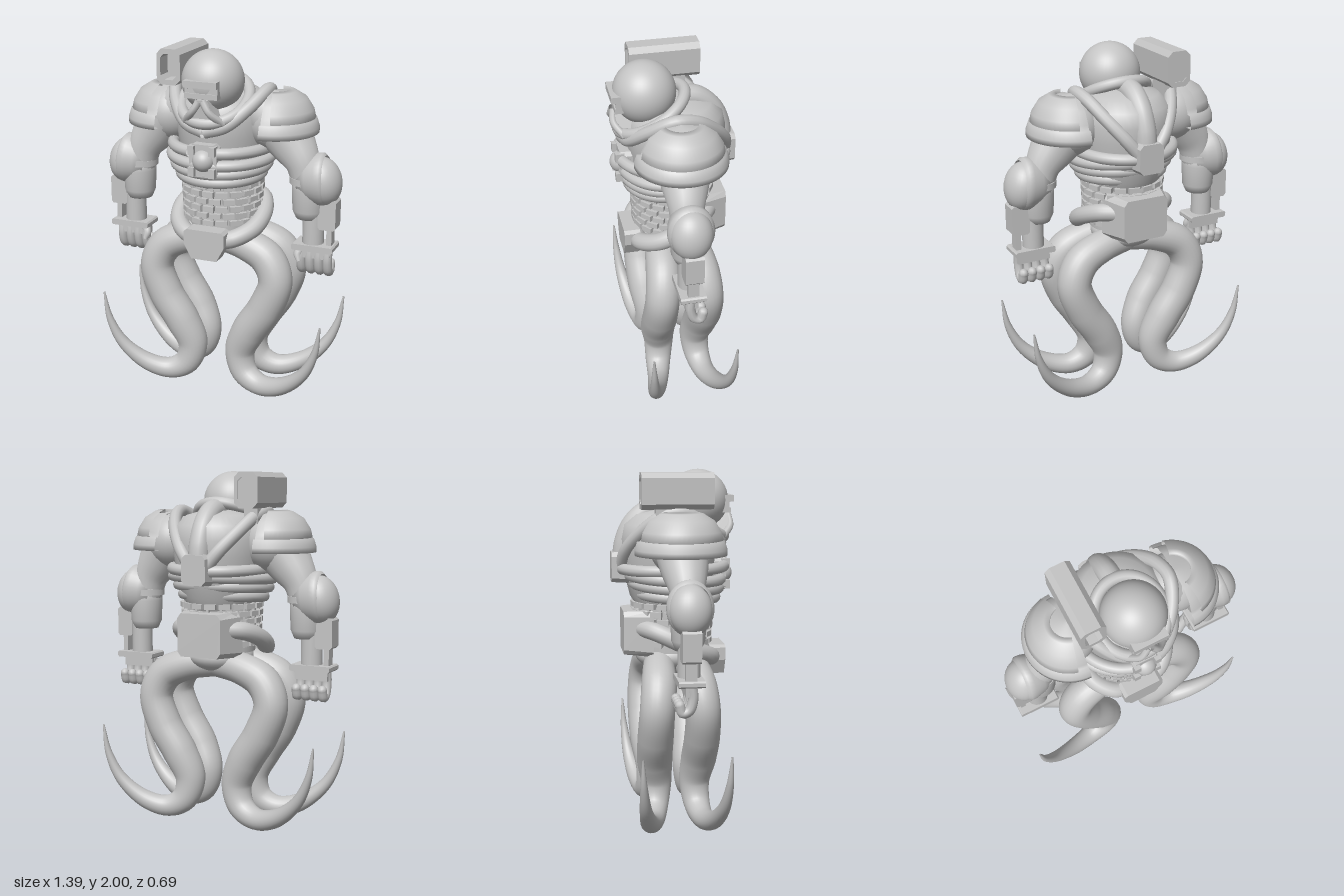
import * as THREE from 'three';

const V = (x, y, z) => new THREE.Vector3(x, y, z);
const grey = new THREE.MeshStandardMaterial({ color: 0xc4c4c4, side: THREE.DoubleSide });
grey.name = 'plain grey';

// Adds a named mesh to a parent
function add(parent, name, geo, x = 0, y = 0, z = 0) {
  const m = new THREE.Mesh(geo, grey);
  m.name = name;
  m.position.set(x, y, z);
  parent.add(m);
  return m;
}

// Tube along points, with one radius or a radius per point
function hose(points, radii, seg = 40, sides = 16, closed = false) {
  const curve = new THREE.CatmullRomCurve3(points.map(p => V(...p)), closed);
  const geo = new THREE.TubeGeometry(curve, seg, 1, sides, closed);
  const pos = geo.attributes.position, v = V(0, 0, 0);
  const list = Array.isArray(radii) ? radii : points.map(() => radii);
  for (let i = 0; i <= seg; i++) {
    const u = i / seg, c = curve.getPointAt(u);
    const k = curve.getUtoTmapping(u) * (list.length - 1);
    const a = Math.min(Math.floor(k), list.length - 1), b = Math.min(a + 1, list.length - 1);
    const r = THREE.MathUtils.lerp(list[a], list[b], k - a);
    for (let j = 0; j <= sides; j++) {
      const n = i * (sides + 1) + j;
      v.fromBufferAttribute(pos, n).sub(c).multiplyScalar(r).add(c);
      pos.setXYZ(n, v.x, v.y, v.z);
    }
  }
  return geo;
}

// Rectangle outline with cut corners
function cutRect(w, h, c, Type = THREE.Shape) {
  const x = w / 2, y = h / 2;
  return new Type([[-x + c, -y], [x - c, -y], [x, -y + c], [x, y - c], [x - c, y], [-x + c, y], [-x, y - c], [-x, -y + c]]
    .map(p => new THREE.Vector2(...p)));
}
const prism = (shape, depth) => new THREE.ExtrudeGeometry(shape, { depth, bevelEnabled: false }).translate(0, 0, -depth / 2);

// Cut-corner block whose rear end shrinks
function taperBlock(w, h, d, c, fx, fy) {
  const geo = prism(cutRect(w, h, c), d), pos = geo.attributes.position;
  for (let i = 0; i < pos.count; i++)
    if (pos.getZ(i) < 0) pos.setXY(i, pos.getX(i) * fx, pos.getY(i) * fy);
  geo.computeVertexNormals();
  return geo;
}
const lathe = (pts, seg = 32, start = 0, len = Math.PI * 2) =>
  new THREE.LatheGeometry(pts.map(p => new THREE.Vector2(...p)), seg, start, len);
const ball = (r, w = 32, h = 20) => new THREE.SphereGeometry(r, w, h);
const box = (w, h, d) => new THREE.BoxGeometry(w, h, d);

// Elliptical arc points around the body, angle 0 at the front
function hoop(rx, rz, y, tilt, a0, a1, zc = 0, n = 24) {
  return Array.from({ length: n + 1 }, (_, i) => {
    const a = a0 + (a1 - a0) * i / n;
    return [Math.sin(a) * rx, y + Math.cos(a) * tilt, zc + Math.cos(a) * rz];
  });
}
const FULL = Math.PI * 2 * 23 / 24;

function buildHead(g) {
  add(g, 'helmet', ball(0.17, 48, 32), 0, 1.83, 0.145);
  // Visor frame with a slit
  add(g, 'visorBrow', box(0.19, 0.036, 0.1), 0, 1.84, 0.285);
  add(g, 'visorSill', box(0.19, 0.028, 0.09), 0, 1.776, 0.272);
  for (const x of [-0.085, 0.085]) add(g, 'visorEnd', box(0.02, 0.09, 0.08), x, 1.81, 0.27);
  add(g, 'visorSlit', box(0.16, 0.05, 0.09), 0, 1.805, 0.262);
  // Breathing mask: wedge and two struts
  const wedge = new THREE.Shape([[-0.035, 0.08], [0.035, 0.08], [0.09, -0.05], [-0.09, -0.05]].map(p => new THREE.Vector2(...p)));
  add(g, 'mask', prism(wedge, 0.09), 0, 1.68, 0.26).rotation.x = 0.1;
  for (const s of [-1, 1])
    add(g, 'maskStrut', hose([[s * 0.01, 1.75, 0.315], [s * 0.05, 1.69, 0.32], [s * 0.11, 1.63, 0.27]], 0.02, 12, 8));
  // Tilted neck ring
  add(g, 'neckRing', hose(hoop(0.185, 0.18, 1.725, -0.1, 0, FULL, 0.11, 23), 0.032, 64, 14, true));
}

function buildTorso(g) {
  add(g, 'chest', lathe([[0.17, 1.22], [0.215, 1.3], [0.245, 1.42], [0.262, 1.53], [0.268, 1.62], [0.25, 1.7], [0.19, 1.755], [0.1, 1.78], [0, 1.785]], 40), 0, 0, -0.02).scale.z = 1.02;
  // Rib hoses, the top one open at the front
  add(g, 'ribHose', hose(hoop(0.275, 0.295, 1.46, 0.005, 0.28, Math.PI * 2 - 0.28), 0.032, 64, 12));
  [[0.287, 0.265, 1.405, 0.01], [0.262, 0.245, 1.355, 0.02], [0.232, 0.225, 1.302, 0.02]].forEach(([rx, rz, y, zc]) =>
    add(g, 'ribHose', hose(hoop(rx, rz, y, -0.015, 0, FULL, zc, 23), 0.031, 64, 12, true)));
  // Chest device
  add(g, 'chestDevice', prism(cutRect(0.16, 0.18, 0.02), 0.07), 0, 1.42, 0.26);
  add(g, 'chestLens', ball(0.062), 0, 1.42, 0.28);
  for (const x of [-0.06, 0.06]) for (const y of [1.36, 1.48])
    add(g, 'chestBolt', box(0.035, 0.05, 0.05), x, y, 0.295);
  // Hoses over the shoulders, meeting on the chest and the back
  for (const s of [-1, 1])
    add(g, 'shoulderHose', hose([[0, 1.575, 0.27], [s * 0.11, 1.61, 0.25], [s * 0.21, 1.7, 0.16], [s * 0.265, 1.775, 0.03],
      [s * 0.25, 1.755, -0.08], [s * 0.195, 1.67, -0.19], [s * 0.12, 1.57, -0.265], [s * 0.05, 1.48, -0.29]], 0.036, 48, 12));
  add(g, 'backHose', hose([[0, 1.79, -0.05], [0, 1.77, -0.14], [0, 1.7, -0.22], [0, 1.6, -0.265], [0, 1.48, -0.28]], 0.06, 32));
  add(g, 'backPack', taperBlock(0.17, 0.18, 0.13, 0.025, 0.85, 0.92), 0, 1.463, -0.28);
}

function buildWaist(g) {
  add(g, 'waist', new THREE.CylinderGeometry(0.2, 0.19, 0.3, 32), 0, 1.14, 0);
  // Woven corset of staggered plates
  for (let row = 0; row < 6; row++) for (let i = 0; i < 18; i++) {
    const a = (i + (row % 2) / 2) / 18 * Math.PI * 2, r = 0.212 + 0.01 * row / 5;
    const m = add(g, 'corsetPlate', box(0.064, 0.028, 0.025), Math.sin(a) * r, 1.045 + row * 0.042, Math.cos(a) * r);
    m.rotation.y = a;
  }
  for (let i = 0; i < 18; i++) {
    const a = (i + 0.25) / 18 * Math.PI * 2;
    add(g, 'corsetRib', box(0.014, 0.25, 0.02), Math.sin(a) * 0.207, 1.15, Math.cos(a) * 0.207).rotation.y = a;
  }
  // Belt hose from rear pack to buckle
  for (const s of [-1, 1])
    add(g, 'beltHose', hose([[s * 0.05, 0.945, 0.21], [s * 0.14, 0.965, 0.2], [s * 0.225, 1.01, 0.115],
      [s * 0.245, 1.07, 0], [s * 0.2, 1.12, -0.12], [s * 0.1, 1.13, -0.2]], 0.05, 40));
  const buckle = new THREE.Shape([[-0.075, -0.085], [0.075, -0.085], [0.12, 0], [0.12, 0.07], [0.1, 0.085], [-0.1, 0.085], [-0.12, 0.07], [-0.12, 0]]
    .map(p => new THREE.Vector2(...p)));
  add(g, 'buckle', prism(buckle, 0.09), 0, 0.935, 0.245);
  add(g, 'rearPack', taperBlock(0.38, 0.26, 0.16, 0.03, 0.7, 0.93), 0, 1.1, -0.205);
  add(g, 'pelvis', ball(1), 0, 0.96, -0.01).scale.set(0.19, 0.1, 0.2);
}

function buildArm(g) {
  add(g, 'shoulder', ball(0.16), 0.31, 1.6, 0);
  add(g, 'upperArm', hose([[0.22, 1.66, 0.01], [0.34, 1.58, 0.01], [0.42, 1.48, 0.015], [0.475, 1.39, 0.02], [0.505, 1.28, 0.02]],
    [0.13, 0.15, 0.125, 0.095, 0.085], 32, 20));
  // Shoulder pad: half dome with rim and raised panel
  add(g, 'shoulderPad', lathe([[0.2, 0], [0.25, 0], [0.25, 0.03], [0.235, 0.075], [0.212, 0.075], [0.205, 0.1], [0.17, 0.165], [0.11, 0.205], [0, 0.222]],
    28, 0, Math.PI), 0.3, 1.555, 0.01);
  add(g, 'padPanel', lathe([[0.205, 0.075], [0.228, 0.08], [0.218, 0.125], [0.18, 0.185], [0.12, 0.222], [0.09, 0.23], [0.09, 0.2]],
    24, 0.25, Math.PI - 0.5), 0.3, 1.555, 0.01);
  // Forearm and wrist
  add(g, 'forearm', lathe([[0, 1.08], [0.07, 1.085], [0.09, 1.13], [0.096, 1.25], [0.088, 1.32], [0, 1.34]], 28), 0.515, 0, 0.02);
  add(g, 'forearmBand', new THREE.CylinderGeometry(0.1, 0.1, 0.035, 28), 0.505, 1.3, 0.02);
  add(g, 'wrist', new THREE.CylinderGeometry(0.06, 0.06, 0.2, 24), 0.545, 1.02, 0.02);
  // Round elbow guard: flattened dome seated in a rimmed cup
  const guard = new THREE.Group();
  guard.name = 'elbowGuard';
  guard.position.set(0.585, 1.31, 0.02);
  const cup = add(guard, 'guardCup', lathe([[0, -0.13], [0.1, -0.125], [0.13, -0.07], [0.147, -0.015], [0.147, 0.015], [0.13, 0.03]], 36));
  cup.rotation.z = -Math.PI / 2 + 0.1;
  cup.scale.z = 0.84;
  const dome = add(guard, 'guardDome', ball(1), 0.01, -0.01, 0);
  dome.scale.set(0.1, 0.135, 0.113);
  dome.rotation.z = 0.2;
  g.add(guard);
  add(g, 'forearmBox', prism(cutRect(0.1, 0.17, 0.012), 0.1), 0.632, 1.12, 0.018);
  add(g, 'forearmStrut', box(0.03, 0.13, 0.06), 0.643, 1, 0.018);
  // Hand
  add(g, 'knucklePlate', prism(cutRect(0.235, 0.035, 0.008), 0.14), 0.558, 0.925, 0.02);
  add(g, 'palm', box(0.19, 0.06, 0.06), 0.555, 0.885, 0.02);
  for (let i = 0; i < 4; i++) {
    const x = 0.48 + i * 0.051;
    add(g, 'finger', hose([[x, 0.91, 0.025], [x, 0.84, 0.03], [x, 0.78, 0.01], [x, 0.767, -0.025], [x, 0.81, -0.04]], 0.027, 20, 10));
    add(g, 'fingerTip', ball(0.027, 10, 8), x, 0.81, -0.04);
  }
  add(g, 'thumb', hose([[0.48, 0.9, 0.03], [0.465, 0.87, 0.045], [0.475, 0.83, 0.055]], [0.026, 0.024, 0.012], 12, 10));
}

function buildTentacle(g, side) {
  // Path in x, y and distance from the middle in z
  const path = [[0, 0.93, 0.07], [0.17, 0.905, 0.095], [0.31, 0.84, 0.11], [0.365, 0.72, 0.125], [0.31, 0.55, 0.13], [0.21, 0.39, 0.125], [0.15, 0.24, 0.11],
    [0.185, 0.115, 0.12], [0.285, 0.063, 0.14], [0.42, 0.095, 0.175], [0.56, 0.21, 0.21], [0.635, 0.36, 0.228], [0.664, 0.53, 0.235]];
  const radii = [0.085, 0.09, 0.098, 0.096, 0.1, 0.1, 0.087, 0.075, 0.062, 0.052, 0.035, 0.021, 0.005];
  add(g, side > 0 ? 'frontTentacle' : 'rearTentacle', hose(path.map(([x, y, z]) => [x, y, z * side]), radii, 80, 24));
}

export function createModel() {
  const model = new THREE.Group();
  model.name = 'armouredDiver';
  buildHead(model);
  buildTorso(model);
  buildWaist(model);
  for (const s of [1, -1]) {
    const half = new THREE.Group();
    half.name = s > 0 ? 'leftLimbs' : 'rightLimbs';
    half.scale.x = s;
    buildArm(half);
    buildTentacle(half, 1);
    buildTentacle(half, -1);
    model.add(half);
  }
  // Launcher on the right shoulder, open at the front
  const tube = cutRect(0.138, 0.195, 0.028);
  tube.holes.push(cutRect(0.095, 0.14, 0.022, THREE.Path));
  add(model, 'launcher', prism(tube, 0.39), -0.243, 1.892, -0.005);
  add(model, 'launcherCore', prism(cutRect(0.1, 0.15, 0.02), 0.29), -0.243, 1.892, -0.05);
  add(model, 'launcherMount', box(0.08, 0.1, 0.12), -0.235, 1.76, -0.06);
  return model;
}
